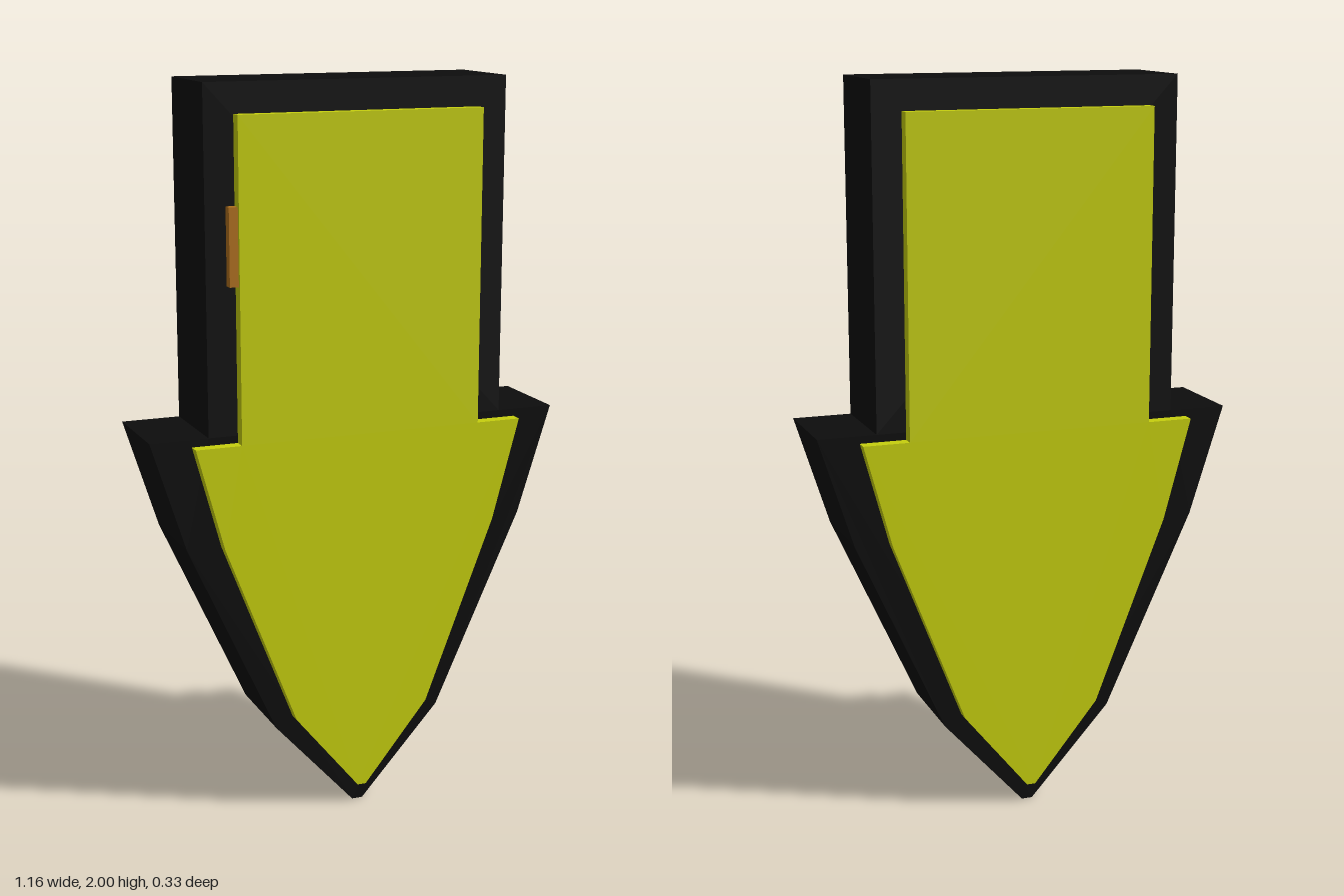
import * as THREE from 'three';

const black = new THREE.MeshStandardMaterial({ name: 'black', color: 0x0d0d0d });
const yellow = new THREE.MeshStandardMaterial({ name: 'yellow', color: 0xc6cf0e });
const amber = new THREE.MeshStandardMaterial({ name: 'amber', color: 0xb0701c });

// Mirrors a right-hand outline (top to tip) and extrudes it from z0 to z1
function slab(name, half, z0, z1, material) {
  const left = half.map(([x, y]) => [-x, y]).reverse();
  const shape = new THREE.Shape([...half, ...left].map(([x, y]) => new THREE.Vector2(x, y)));
  const geometry = new THREE.ExtrudeGeometry(shape, { depth: z1 - z0, bevelEnabled: false });
  geometry.translate(0, 0, z0);
  const mesh = new THREE.Mesh(geometry, material);
  mesh.name = name;
  return mesh;
}

export function createModel() {
  const group = new THREE.Group();
  group.name = 'downArrow';

  // Thick dark arrow body
  const body = [[0.42, 2], [0.42, 1.09], [0.58, 1.09], [0.485, 0.79], [0.24, 0.25], [0.015, 0]];
  group.add(slab('arrowBody', body, -0.13, 0.13, black));

  // Raised bright plates on both faces
  const plate = [[0.34, 1.92], [0.34, 1.07], [0.466, 1.07], [0.39, 0.79], [0.193, 0.28], [0.012, 0.057]];
  group.add(slab('frontPlate', plate, 0.12, 0.164, yellow));
  group.add(slab('backPlate', plate, -0.164, -0.12, yellow));

  // Small tab beside the front plate
  const tab = new THREE.Mesh(new THREE.BoxGeometry(0.04, 0.204, 0.035), amber);
  tab.name = 'sideTab';
  tab.position.set(-0.344, 1.588, 0.138);
  group.add(tab);

  return group;
}
